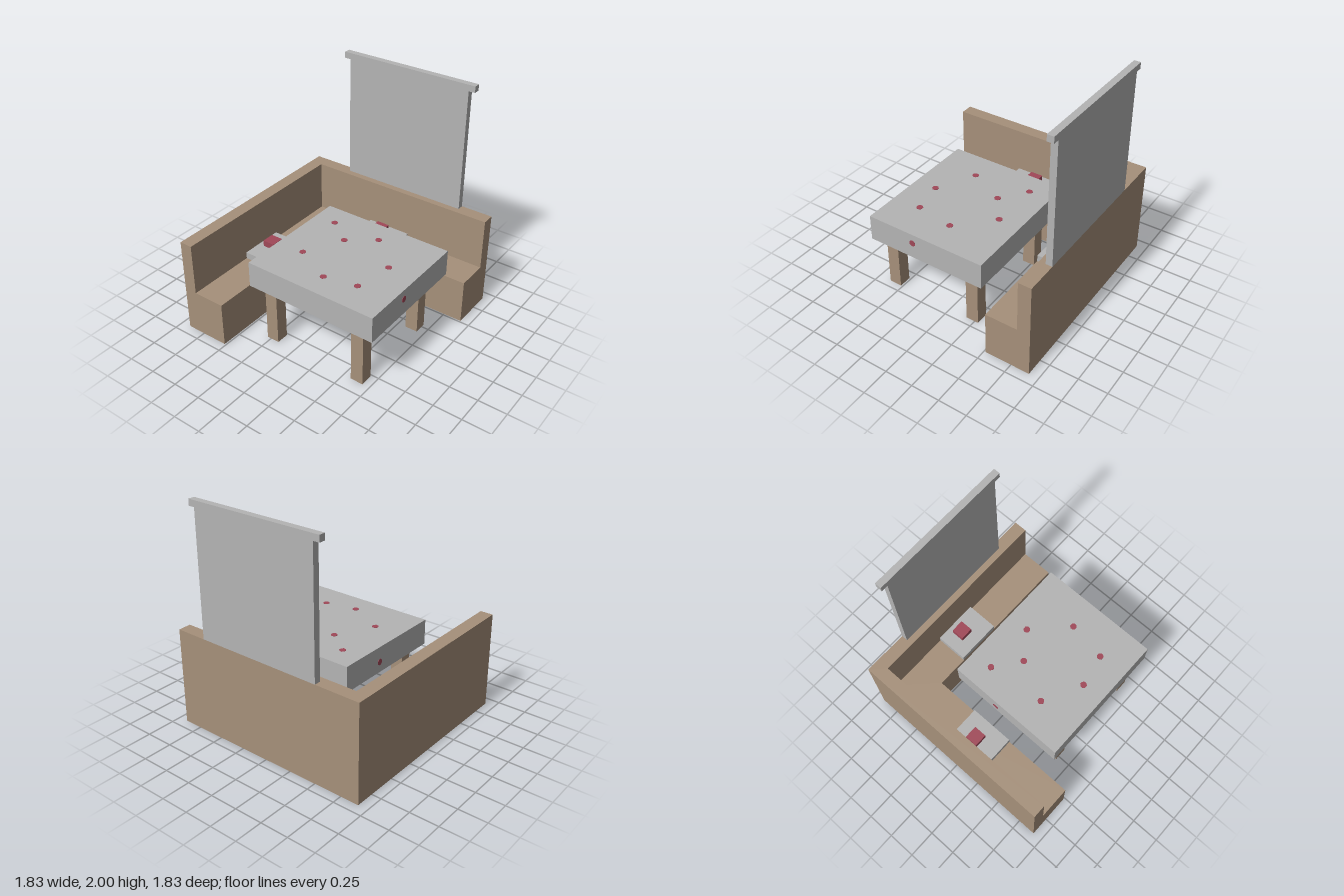
import * as THREE from 'three';

const wood = new THREE.MeshStandardMaterial({ color: 0xa6907a });
wood.name = 'wood';
const cloth = new THREE.MeshStandardMaterial({ color: 0xb4b4b4 });
cloth.name = 'grey cloth';
const red = new THREE.MeshStandardMaterial({ color: 0xa04858 });
red.name = 'red';

// Box given by its minimum and maximum corners
function box(name, material, [x0, y0, z0], [x1, y1, z1]) {
  const mesh = new THREE.Mesh(new THREE.BoxGeometry(x1 - x0, y1 - y0, z1 - z0), material);
  mesh.position.set((x0 + x1) / 2, (y0 + y1) / 2, (z0 + z1) / 2);
  mesh.name = name;
  return mesh;
}

// Ground-plan outline of [x, z] points, raised from y0 to y1
function plan(name, material, points, y0, y1, hole) {
  const toVectors = (list) => list.map(([x, z]) => new THREE.Vector2(x, -z));
  const shape = new THREE.Shape(toVectors(points));
  if (hole) shape.holes.push(new THREE.Path(toVectors(hole)));
  const geometry = new THREE.ExtrudeGeometry(shape, { depth: y1 - y0, bevelEnabled: false });
  geometry.rotateX(-Math.PI / 2);
  const mesh = new THREE.Mesh(geometry, material);
  mesh.position.y = y0;
  mesh.name = name;
  return mesh;
}

const rect = (x0, z0, x1, z1) => [[x0, z0], [x1, z0], [x1, z1], [x0, z1]];

// Corner outline with its inner edge at the given coordinate
const E = 0.914;
const corner = (inner) => [[-E, -E], [E, -E], [E, inner], [inner, inner], [inner, E], [-E, E]];

// Thin octagonal spot, facing along y or x
function spot(x, y, z, side = 0) {
  const geometry = new THREE.CylinderGeometry(0.029, 0.029, 0.004, 8);
  geometry.rotateY(Math.PI / 8);
  if (side) geometry.rotateZ(-side * Math.PI / 2);
  const mesh = new THREE.Mesh(geometry, red);
  mesh.position.set(x, y, z);
  mesh.name = 'spot';
  return mesh;
}

export function createModel() {
  const model = new THREE.Group();
  model.name = 'diningCorner';

  // Corner bench
  const bench = new THREE.Group();
  bench.name = 'cornerBench';
  bench.add(
    plan('benchSeat', wood, corner(-0.515), 0, 0.4),
    plan('benchBack', wood, corner(-0.8), 0.4, 0.86),
  );

  // Seat cushions with red buttons
  bench.add(
    box('backCushion', cloth, [-0.23, 0.4, -0.8], [0.17, 0.46, -0.515]),
    box('backButton', red, [-0.115, 0.46, -0.745], [0, 0.516, -0.63]),
    box('sideCushion', cloth, [-0.8, 0.4, -0.117], [-0.515, 0.46, 0.283]),
    box('sideButton', red, [-0.745, 0.46, 0], [-0.63, 0.516, 0.115]),
  );

  // Table
  const table = new THREE.Group();
  table.name = 'table';
  table.add(box('tableTop', wood, [-0.343, 0.573, -0.343], [0.743, 0.688, 0.63]));
  for (const x of [-0.285, 0.572]) {
    for (const z of [-0.283, 0.517]) {
      table.add(box('tableLeg', wood, [x, 0, z], [x + 0.113, 0.573, z + 0.113]));
    }
  }

  // Tablecloth: flat top and hanging rim
  table.add(
    box('clothTop', cloth, [-0.4, 0.688, -0.4], [0.8, 0.745, 0.685]),
    plan('clothRim', cloth, rect(-0.4, -0.4, 0.8, 0.685), 0.516, 0.688,
      rect(-0.343, -0.343, 0.743, 0.63)),
  );

  // Spots on the cloth
  const spots = [[-0.2, -0.2], [0.255, -0.2], [0.025, -0.03], [0.54, 0.08],
    [-0.145, 0.31], [0.483, 0.425], [0.197, 0.483]];
  for (const [x, z] of spots) table.add(spot(x, 0.746, z));
  table.add(spot(0.801, 0.66, 0.256, 1), spot(-0.401, 0.61, 0.03, -1));

  // Hanging blind with its rail
  const blind = new THREE.Group();
  blind.name = 'blind';
  blind.add(
    box('blindSheet', cloth, [-0.515, 0.86, -E], [0.63, 1.945, -0.857]),
    box('blindRail', cloth, [-0.572, 1.945, -E], [0.686, 2, -0.857]),
  );

  model.add(bench, table, blind);
  return model;
}
